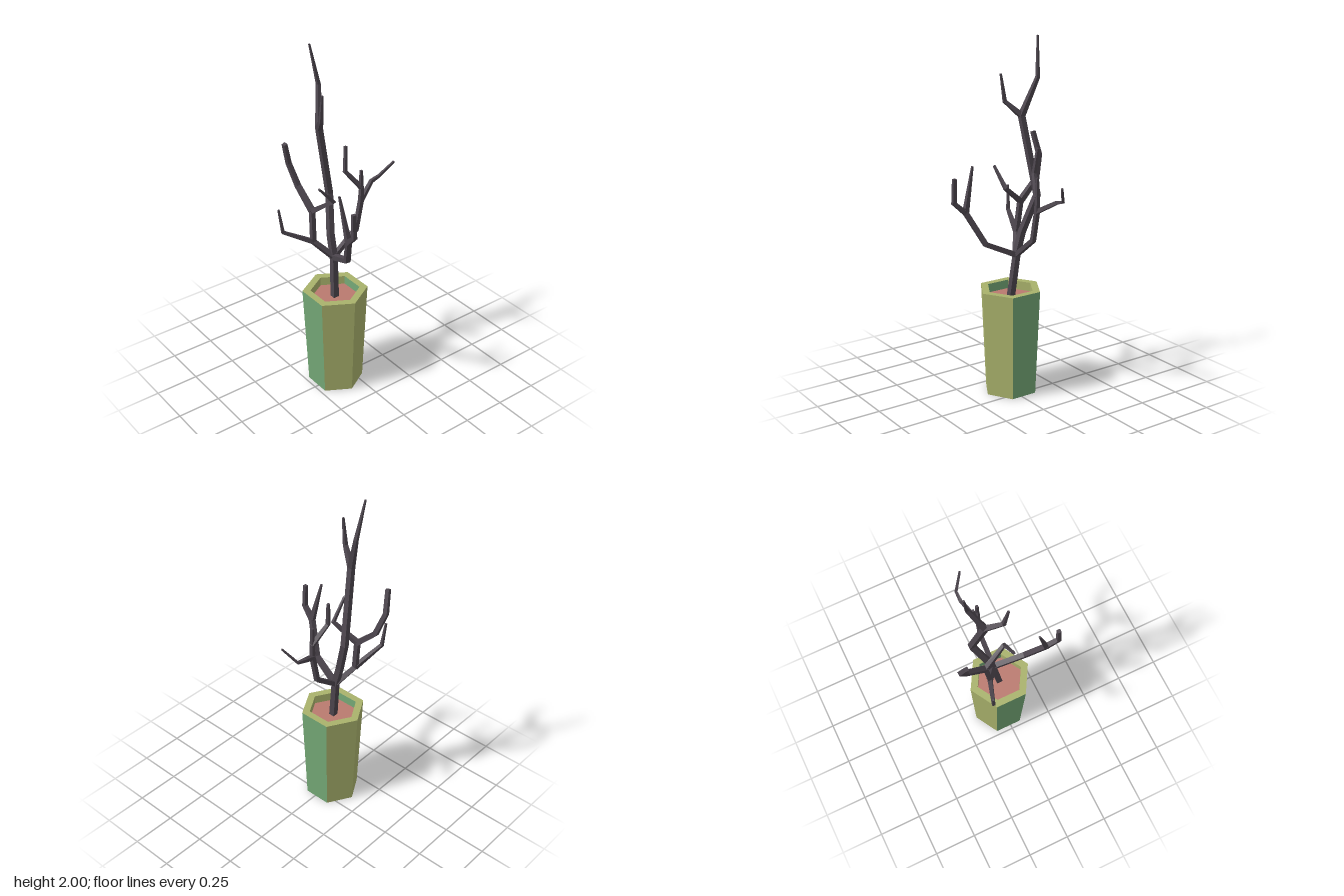
import * as THREE from 'three';

const olive = new THREE.MeshStandardMaterial({ color: 0xa9b26c });
olive.name = 'olive';
const green = new THREE.MeshStandardMaterial({ color: 0x74a876 });
green.name = 'green';
const clay = new THREE.MeshStandardMaterial({ color: 0xba7a6f });
clay.name = 'clay';
const bark = new THREE.MeshStandardMaterial({ color: 0x4d464e });
bark.name = 'bark';

// Facet a geometry so that every face is flat
function faceted(geometry) {
  const flat = geometry.toNonIndexed();
  flat.computeVertexNormals();
  return flat;
}

// Square-section limb swept through points, tapering from half-width r0 to r1
function limb(name, pts, r0, r1) {
  const p = pts.map((a) => new THREE.Vector3(...a));
  const n = p.length;
  const pos = [], index = [];
  let side = new THREE.Vector3(1, 0, 0);
  for (let i = 0; i < n; i++) {
    const before = p[i].clone().sub(p[Math.max(i - 1, 0)]).normalize();
    const after = p[Math.min(i + 1, n - 1)].clone().sub(p[i]).normalize();
    const t = before.add(after).normalize();
    // Carry the previous side direction along, so the section does not twist
    if (i === 0 && Math.abs(t.x) > 0.8) side.set(0, 0, 1);
    side = side.clone().addScaledVector(t, -side.dot(t)).normalize();
    const up = t.clone().cross(side);
    const r = THREE.MathUtils.lerp(r0, r1, i / (n - 1));
    for (const [a, b] of [[1, 1], [-1, 1], [-1, -1], [1, -1]]) {
      const v = p[i].clone().addScaledVector(side, a * r).addScaledVector(up, b * r);
      pos.push(v.x, v.y, v.z);
    }
  }
  for (let i = 0; i < n - 1; i++) {
    for (let k = 0; k < 4; k++) {
      const a = i * 4 + k, b = i * 4 + ((k + 1) % 4);
      index.push(a, b, b + 4, a, b + 4, a + 4);
    }
  }
  const e = (n - 1) * 4;
  index.push(0, 2, 1, 0, 3, 2, e, e + 1, e + 2, e, e + 2, e + 3);
  const g = new THREE.BufferGeometry();
  g.setAttribute('position', new THREE.Float32BufferAttribute(pos, 3));
  g.setIndex(index);
  const mesh = new THREE.Mesh(faceted(g), bark);
  mesh.name = name;
  return mesh;
}

// Hexagonal pot: base, outer wall, rim and inner wall, with green side panels
function makePot() {
  const profile = [[0, 0], [0.156, 0], [0.183, 0.61], [0.138, 0.61], [0.137, 0.55]];
  const g = new THREE.LatheGeometry(profile.map(([x, y]) => new THREE.Vector2(x, y)), 6);
  const bands = profile.length - 1;
  for (let i = 0; i < 6; i++) {
    for (let j = 0; j < bands; j++) {
      const panel = (i === 1 || i === 4) && (j === 1 || j === 3);
      g.addGroup((i * bands + j) * 6, 6, panel ? 1 : 0);
    }
  }
  const mesh = new THREE.Mesh(faceted(g), [olive, green]);
  mesh.name = 'pot';
  return mesh;
}

export function createModel() {
  const model = new THREE.Group();
  model.name = 'pottedTree';

  const planter = new THREE.Group();
  planter.name = 'planter';
  planter.position.set(-0.09, 0, -0.015);
  const soil = new THREE.Mesh(new THREE.CircleGeometry(0.138, 6, Math.PI / 2), clay);
  soil.name = 'soil';
  soil.rotation.x = -Math.PI / 2;
  soil.position.y = 0.56;
  planter.add(makePot(), soil);
  model.add(planter);

  // Points where limbs divide
  const crown = [-0.075, 0.8, -0.045];
  const rightFork = [0.115, 1.09, -0.048];
  const rightTwigFork = [0.118, 1.17, -0.048];
  const frontFork = [-0.175, 1.06, 0.22];
  const tallFork = [-0.115, 1.57, -0.11];
  const leftFork = [-0.165, 0.9, -0.11];
  const backFork = [-0.155, 1.08, -0.13];

  const tree = new THREE.Group();
  tree.name = 'tree';
  tree.add(
    limb('trunk', [[-0.09, 0.55, -0.018], [-0.073, 0.81, -0.048]], 0.017, 0.016),
    // Right-hand limb and its twigs
    limb('rightLimb', [crown, [0.08, 0.92, -0.048], rightFork], 0.013, 0.012),
    limb('rightLongTwig', [rightFork, [0.225, 1.155, -0.095], [0.28, 1.17, -0.096], [0.34, 1.262, -0.043]], 0.012, 0.005),
    limb('rightUprightTwig', [rightFork, rightTwigFork, [0.116, 1.275, -0.048]], 0.012, 0.007),
    limb('rightInnerTwig', [rightTwigFork, [0.035, 1.28, -0.085], [0.05, 1.42, -0.1]], 0.012, 0.007),
    // Front limb and its twigs
    limb('frontLimb', [crown, [-0.115, 0.88, 0.13], frontFork], 0.015, 0.014),
    limb('frontOuterTwig', [frontFork, [-0.188, 1.12, 0.285], [-0.188, 1.255, 0.28]], 0.014, 0.01),
    limb('frontInnerTwig', [frontFork, [-0.19, 1.31, 0.163]], 0.014, 0.005),
    // Tall central limb
    limb('tallLimb', [crown, [-0.07, 0.93, -0.08], [-0.025, 1.14, -0.15], tallFork], 0.017, 0.015),
    limb('tallTip', [tallFork, [-0.065, 1.78, -0.18], [-0.1, 2, -0.205]], 0.015, 0.004),
    limb('tallSideTwig', [tallFork, [-0.16, 1.65, -0.03], [-0.165, 1.8, -0.008]], 0.015, 0.005),
    // Left limb, splitting toward the left and the back
    limb('leftLimb', [crown, leftFork], 0.015, 0.013),
    limb('leftTwig', [leftFork, [-0.325, 0.99, -0.165], [-0.342, 1.13, -0.175]], 0.013, 0.005),
    limb('backLimb', [leftFork, backFork], 0.013, 0.013),
    limb('backTwig', [backFork, [-0.165, 1.19, -0.245], [-0.193, 1.32, -0.287], [-0.228, 1.45, -0.268]], 0.015, 0.011),
    limb('innerTwig', [backFork, [-0.108, 1.18, 0.002], [-0.207, 1.29, 0.01]], 0.014, 0.006),
  );
  model.add(tree);
  return model;
}
